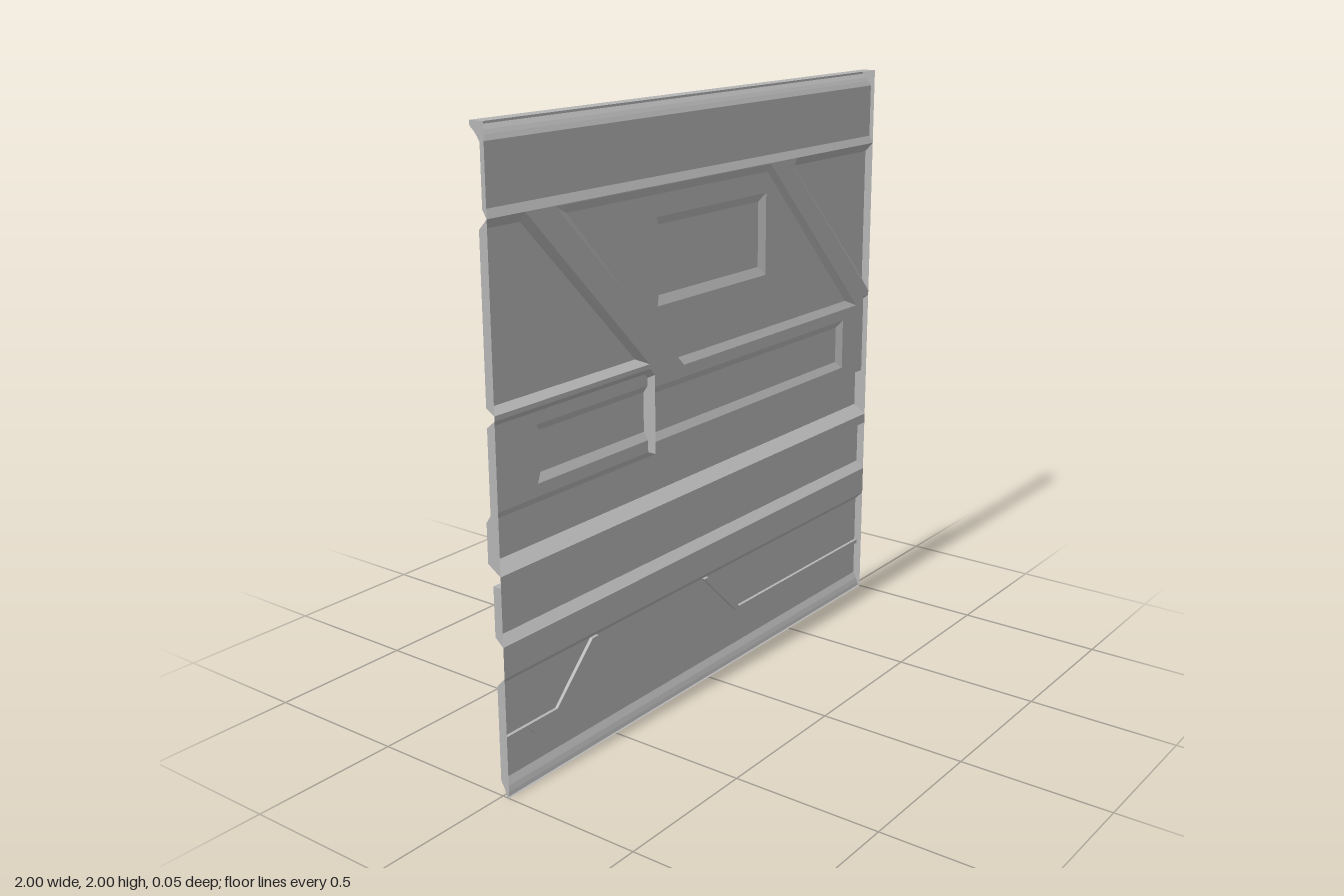
import * as THREE from 'three';

// Depth levels of the pressed sheet; the panels bulge toward -z.
const FLOOR = 0.025, BEAM = 0.01, PLATE = -0.005, BULGE = -0.022;

const metal = new THREE.MeshStandardMaterial({ color: 0xb4b4b4, side: THREE.DoubleSide });
metal.name = 'grey metal';

const vectors = (points) => points.map(([x, y]) => new THREE.Vector2(x, y));
const rect = (x0, y0, x1, y1) => [[x0, y0], [x1, y0], [x1, y1], [x0, y1]];

function addMesh(parent, name, geometry) {
  const mesh = new THREE.Mesh(geometry, metal);
  mesh.name = name;
  parent.add(mesh);
  return mesh;
}

// Flat polygon at one depth, with optional openings.
function flat(points, z, holes = []) {
  const shape = new THREE.Shape(vectors(points));
  for (const hole of holes) shape.holes.push(new THREE.Path(vectors(hole)));
  return new THREE.ShapeGeometry(shape).translate(0, 0, z);
}

// Hard-edged quads from pairs of rails.
function quads(list) {
  const positions = [];
  for (const [a, b, c, d] of list) positions.push(...a, ...b, ...c, ...a, ...c, ...d);
  const geometry = new THREE.BufferGeometry();
  geometry.setAttribute('position', new THREE.Float32BufferAttribute(positions, 3));
  geometry.computeVertexNormals();
  return geometry;
}

// Pressed panel: sloping sides from the outer outline to the inner one, plus its face.
function pressed(parent, name, outer, inner, z0, z1, { skip = [], face = inner, holes = [] } = {}) {
  const group = new THREE.Group();
  group.name = name;
  const sides = [];
  outer.forEach((p, i) => {
    if (skip.includes(i)) return;
    const j = (i + 1) % outer.length;
    sides.push([[...p, z0], [...outer[j], z0], [...inner[j], z1], [...inner[i], z1]]);
  });
  addMesh(group, name + 'Sides', quads(sides));
  addMesh(group, name + 'Face', flat(face, z1, holes));
  parent.add(group);
}

// Horizontal moulding swept along x from [y, z] points.
function ribbon(parent, name, profile, x0 = -1, x1 = 1) {
  const list = [];
  for (let i = 0; i < profile.length - 1; i++) {
    const [ya, za] = profile[i], [yb, zb] = profile[i + 1];
    list.push([[x0, ya, za], [x1, ya, za], [x1, yb, zb], [x0, yb, zb]]);
  }
  addMesh(parent, name, quads(list));
}

// End plates closing a moulding at both sides.
function ends(parent, name, profile) {
  for (const x of [-1, 1]) {
    const geometry = flat(profile.map(([y, z]) => [z, y]), 0).rotateY(-Math.PI / 2);
    addMesh(parent, name, geometry.translate(x, 0, 0));
  }
}

export function createModel() {
  const wall = new THREE.Group();
  wall.name = 'wallPanel';

  // Lower skirt
  const foot = [[0, FLOOR], [0, 0.017], [0.012, 0.014], [0.028, 0.008], [0.05, PLATE]];
  const shoulder = [[0.36, PLATE], [0.39, FLOOR]];
  ribbon(wall, 'skirtFoot', foot);
  ribbon(wall, 'skirtShoulder', [...shoulder, [0.49, FLOOR]]);
  ends(wall, 'skirtEnd', [...foot, ...shoulder]);

  // Skirt face, divided by two shallow channels
  const leftUpper = [[-1, 0.188], [-0.755, 0.188], [-0.585, 0.36]];
  const leftLower = [[-1, 0.176], [-0.885, 0.176], [-0.855, 0.146], [-0.77, 0.146], [-0.555, 0.36]];
  const rightUpper = [[0.025, 0.36], [0.205, 0.19], [1, 0.19]];
  const rightLower = [[0, 0.36], [0.19, 0.176], [1, 0.176]];
  addMesh(wall, 'skirtCorner', flat([...leftUpper, [-1, 0.36]], PLATE));
  addMesh(wall, 'skirtCorner', flat([...rightUpper, [1, 0.36]], PLATE));
  addMesh(wall, 'skirtFace', flat([[-1, 0.05], ...leftLower, ...rightLower, [1, 0.05]], PLATE));
  for (const [upper, lower] of [[leftUpper, leftLower], [rightUpper, rightLower]]) {
    const outline = [...upper, ...[...lower].reverse()];
    pressed(wall, 'skirtChannel', outline, outline, PLATE, 0.006);
  }

  // Two horizontal rails
  const lowRail = [[0.49, FLOOR], [0.515, PLATE], [0.675, PLATE], [0.675, FLOOR]];
  const midRail = [[0.71, FLOOR], [0.74, BULGE], [0.865, BULGE], [0.89, PLATE]];
  ribbon(wall, 'lowRail', [...lowRail, [0.71, FLOOR]]);
  ends(wall, 'lowRailEnd', lowRail);
  ribbon(wall, 'middleRail', midRail);
  ends(wall, 'middleRailEnd', [...midRail, [0.89, FLOOR]]);
  ribbon(wall, 'middleRailStep', [[0.89, PLATE], [0.89, FLOOR]], -0.285, 0.965);

  // Top beam with stepped cornice
  const beam = [[1.74, FLOOR], [1.765, BEAM], [1.945, BEAM], [1.96, 0], [1.972, -0.01],
    [1.985, -0.025], [2, -0.025], [2, FLOOR]];
  ribbon(wall, 'topBeam', beam);
  ends(wall, 'topBeamEnd', beam);

  // Recessed floor between the raised panels
  const trapezoid = [[-0.135, 1.15], [0.915, 1.15], [0.345, 1.737], [-0.725, 1.737]];
  addMesh(wall, 'recessFloor', flat([
    [-0.85, 1.74], [-0.31, 1.19], [-1, 1.19], [-1, 1.175], [-0.31, 1.175], [-0.285, 1.15],
    [-0.285, 1.11], [0.825, 1.11], [0.825, 0.93], [-0.285, 0.93], [-0.285, 0.89],
    [0.965, 0.89], [0.965, 1.175], [1, 1.175], [1, 1.19], [0.485, 1.705], [0.5, 1.74],
  ], FLOOR, [trapezoid]));

  // Slanted centre panel with a raised rectangle
  const block = rect(-0.25, 1.36, 0.34, 1.64);
  pressed(wall, 'centrePanel', trapezoid,
    [[-0.165, 1.175], [0.86, 1.175], [0.345, 1.71], [-0.665, 1.71]],
    FLOOR, BEAM, { holes: [block] });
  pressed(wall, 'centreBlock', block, rect(-0.225, 1.39, 0.315, 1.612), BEAM, PLATE);

  // Upper side panels
  pressed(wall, 'upperRightPanel',
    [[-1, 1.19], [-0.31, 1.19], [-0.85, 1.74], [-1, 1.74]],
    [[-1, 1.208], [-0.345, 1.208], [-0.84, 1.708], [-1, 1.708]], FLOOR, PLATE);
  pressed(wall, 'upperLeftPanel',
    [[1, 1.19], [1, 1.74], [0.5, 1.74], [0.485, 1.705]],
    [[1, 1.235], [1, 1.708], [0.525, 1.708], [0.525, 1.705]], FLOOR, PLATE);

  // Middle band plates
  pressed(wall, 'bandPlate',
    [[-1, 0.89], [-0.285, 0.89], [-0.285, 1.15], [-0.31, 1.175], [-1, 1.175]],
    [[-1, 0.89], [-0.285, 0.89], [-0.285, 1.135], [-0.3, 1.15], [-1, 1.15]], FLOOR, PLATE, {
      skip: [0],
      face: [[-1, 0.89], [-0.285, 0.89], [-0.285, 0.93], [-0.8, 0.93], [-0.8, 1.11],
        [-0.285, 1.11], [-0.285, 1.135], [-0.3, 1.15], [-1, 1.15]],
    });
  pressed(wall, 'bandEndPlate', rect(0.965, 0.89, 1, 1.175), rect(0.965, 0.89, 1, 1.15),
    FLOOR, PLATE, { skip: [0] });

  // Raised bars along the band, cut by the step
  pressed(wall, 'bandBar', rect(-0.8, 0.93, -0.285, 1.11), rect(-0.77, 0.955, -0.285, 1.085),
    PLATE, BULGE);
  pressed(wall, 'centreBar', rect(-0.285, 0.93, 0.825, 1.11), rect(-0.285, 0.955, 0.8, 1.085),
    FLOOR, BEAM);

  return wall;
}
